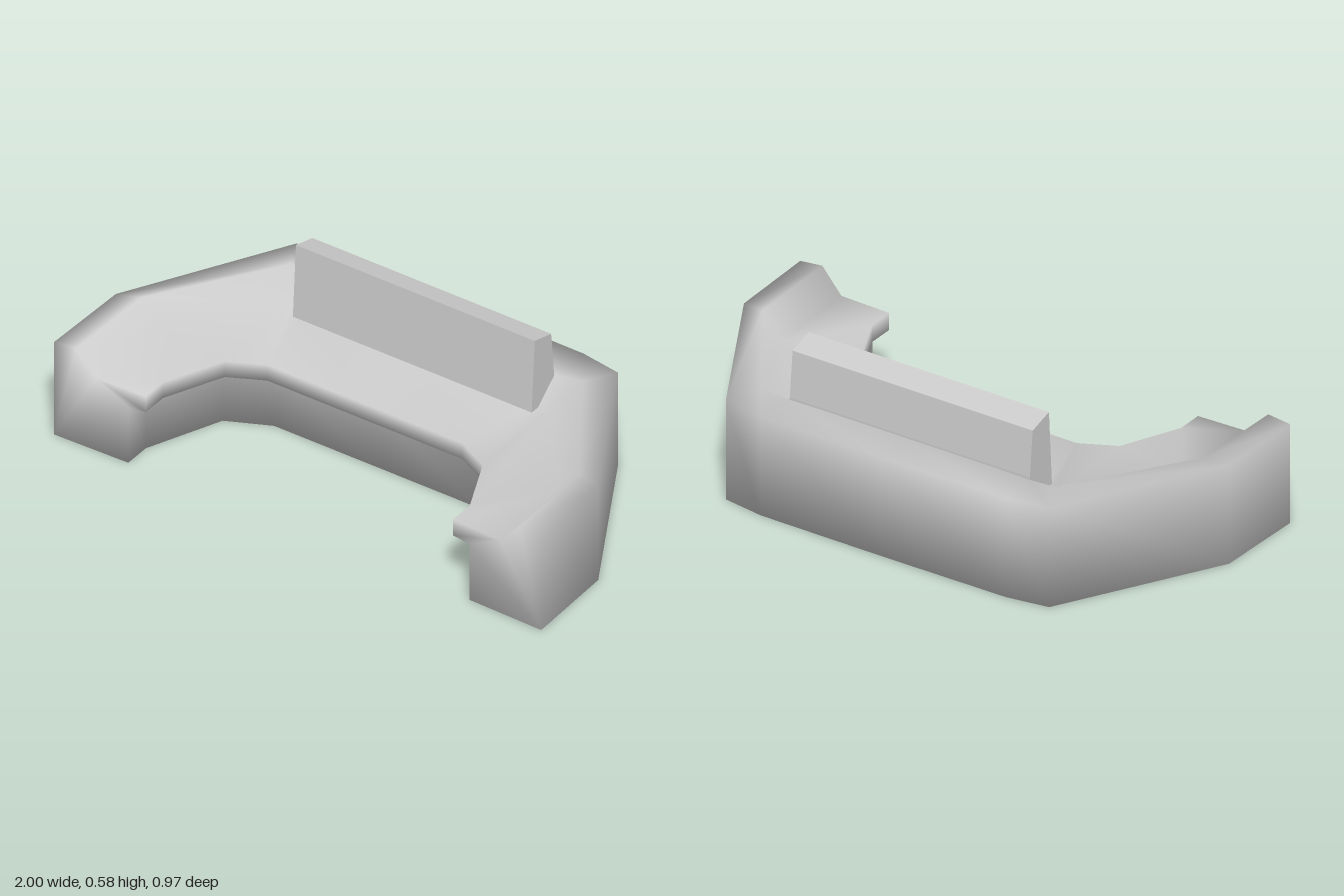
import * as THREE from 'three';

const material = new THREE.MeshStandardMaterial({ color: 0xcccccc });

// Plan positions [x, z] at each station from the left end to the middle:
// outer wall, raised rim (with its height), foot of the rim, worktop edge, recessed inner wall
const stations = [
  { outer: [1, 0.48], rim: [0.91, 0.48, 0.39], foot: [0.83, 0.477], edge: [0.63, 0.47], inner: [0.70, 0.473] },
  { outer: [0.99, 0.13], rim: [0.9, 0.11, 0.39], foot: [0.82, 0.11], edge: [0.63, 0.37], inner: [0.70, 0.37] },
  { outer: [0.66, -0.46], rim: [0.6, -0.34, 0.39], foot: [0.53, -0.25], edge: [0.53, 0.15], inner: [0.58, 0.09] },
  { outer: [0.5, -0.485], rim: [0.49, -0.33, 0.378], foot: [0.48, -0.23], edge: [0.4, 0.085], inner: [0.42, 0.015] },
  { outer: [0, -0.488], rim: [0, -0.32, 0.378], foot: [0, -0.23], edge: [0, 0.085], inner: [0, 0.015] },
];

// Closed cross-section of the counter at one station
function section({ outer, rim, foot, edge, inner }, side) {
  const at = ([x, z], y) => new THREE.Vector3(x * side, y, z);
  return [
    at(outer, 0), at(outer, 0.38), at(rim, rim[2]), at(foot, 0.3),
    at(edge, 0.3), at(edge, 0.235), at(inner, 0.23), at(inner, 0),
  ];
}

// Smooth skin through the cross-sections with both ends capped
function counterGeometry() {
  const rings = [
    ...stations.map((s) => section(s, 1)),
    ...stations.slice(0, -1).reverse().map((s) => section(s, -1)),
  ];
  const n = rings[0].length;
  const index = [];
  for (let i = 0; i < rings.length - 1; i++) {
    for (let j = 0; j < n; j++) {
      const a = i * n + j;
      const b = i * n + ((j + 1) % n);
      index.push(a, a + n, b, b, a + n, b + n);
    }
  }
  const outline = rings[0].map((p) => new THREE.Vector2(p.x, p.y));
  const last = (rings.length - 1) * n;
  for (const [a, b, c] of THREE.ShapeUtils.triangulateShape(outline, [])) {
    index.push(a, b, c, last + a, last + c, last + b);
  }
  const geometry = new THREE.BufferGeometry().setFromPoints(rings.flat());
  geometry.setIndex(index);
  geometry.computeVertexNormals();
  return geometry;
}

// Tapered upright panel: side profile [z, y] extruded across the width
function panelGeometry() {
  const profile = [[-0.195, 0.295], [-0.213, 0.585], [-0.31, 0.558], [-0.327, 0.385], [-0.327, 0.295]];
  const shape = new THREE.Shape(profile.map(([z, y]) => new THREE.Vector2(z, y)));
  const geometry = new THREE.ExtrudeGeometry(shape, { depth: 0.98, bevelEnabled: false });
  return geometry.rotateY(-Math.PI / 2).translate(0.49, 0, 0);
}

export function createModel() {
  const group = new THREE.Group();
  group.name = 'receptionDesk';
  const parts = { counter: counterGeometry(), uprightPanel: panelGeometry() };
  for (const [name, geometry] of Object.entries(parts)) {
    const mesh = new THREE.Mesh(geometry, material);
    mesh.name = name;
    group.add(mesh);
  }
  return group;
}
